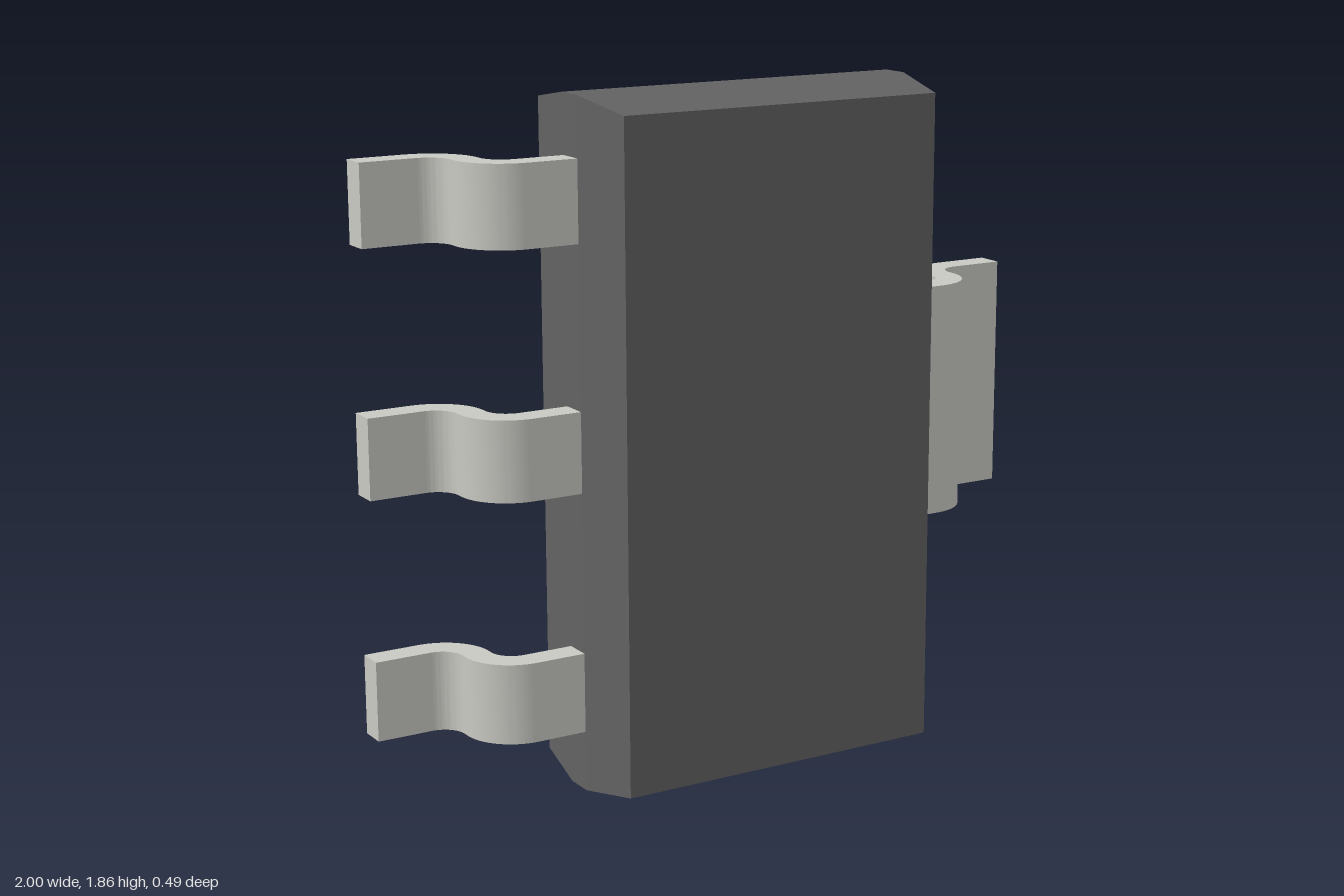
import * as THREE from 'three';
import { toCreasedNormals } from 'three/addons/utils/BufferGeometryUtils.js';
import { ConvexGeometry } from 'three/addons/geometries/ConvexGeometry.js';

const HEIGHT = 1.86;
const bodyMaterial = new THREE.MeshStandardMaterial({ color: 0x626262 });
const leadMaterial = new THREE.MeshStandardMaterial({ color: 0xc9c9c3 });

// Moulded case: rectangular sections along z, widest at the parting band.
function makeBody() {
  const sections = [[0.24, 0.47, 0.895], [0.05, 0.5, 0.93], [-0.03, 0.5, 0.93], [-0.215, 0.472, 0.9]];
  const points = [];
  for (const [z, halfWidth, halfHeight] of sections)
    for (const sx of [-1, 1])
      for (const sy of [-1, 1]) points.push(new THREE.Vector3(sx * halfWidth, sy * halfHeight, z));
  const body = new THREE.Mesh(new ConvexGeometry(points), bodyMaterial);
  body.position.y = HEIGHT / 2;
  body.name = 'body';
  return body;
}

// S-bent strip, drawn in plan (shape y = -z) and extruded along its width.
function makeLead(name, y, width, left) {
  const outer = 0.14, inner = 0.065;
  const x1 = 0.64, y1 = 0.09;    // centre of the bend near the body
  const x2 = 0.845, y2 = 0.105;  // centre of the bend near the foot
  const s = new THREE.Shape();
  s.moveTo(0.46, y1 - outer);
  s.lineTo(x1, y1 - outer);
  s.absarc(x1, y1, outer, -Math.PI / 2, 0, false);
  s.absarc(x2, y2, inner, Math.PI, Math.PI / 2, true);
  s.lineTo(1, y2 + inner);
  s.lineTo(1, y2 + outer);
  s.lineTo(x2, y2 + outer);
  s.absarc(x2, y2, outer, Math.PI / 2, Math.PI, false);
  s.absarc(x1, y1, inner, 0, -Math.PI / 2, true);
  s.lineTo(0.46, y1 - inner);
  s.closePath();
  let geometry = new THREE.ExtrudeGeometry(s, { depth: width, bevelEnabled: false, curveSegments: 12 });
  geometry.translate(0, 0, -width / 2);
  geometry.rotateX(-Math.PI / 2);
  geometry = toCreasedNormals(geometry, 0.5);
  const lead = new THREE.Mesh(geometry, leadMaterial);
  if (!left) lead.rotation.z = Math.PI;
  lead.position.y = y;
  lead.name = name;
  return lead;
}

export function createModel() {
  const model = new THREE.Group();
  model.name = 'surfaceMountPackage';
  model.add(makeBody());
  // Wide tab on one side, three narrow pins on the other
  model.add(makeLead('wideTab', 0.932, 0.656, true));
  [0.275, 0.932, 1.59].forEach((y, i) => model.add(makeLead(`pin${i + 1}`, y, 0.219, false)));
  return model;
}
